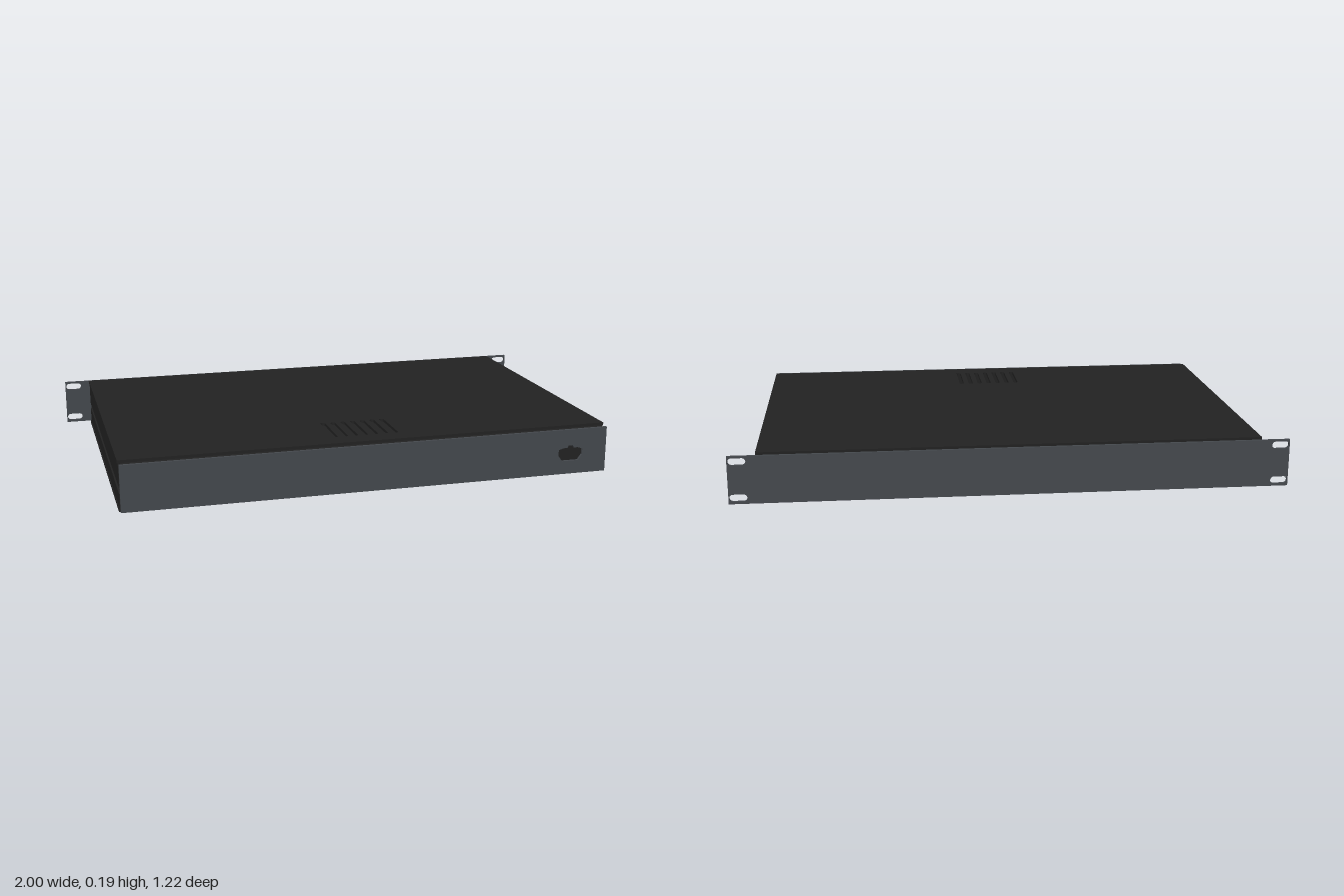
import * as THREE from 'three';

export function createModel() {
  const group = new THREE.Group();
  const black = new THREE.MeshStandardMaterial({ color: 0x222222 });
  black.name = 'black steel';
  const grey = new THREE.MeshStandardMaterial({ color: 0x45494e });
  grey.name = 'grey panel';

  const add = (name, geometry, material) => {
    const mesh = new THREE.Mesh(geometry, material);
    mesh.name = name;
    group.add(mesh);
    return mesh;
  };
  // Box given by its lower and upper corners
  const box = (name, a, b, material) => {
    const mesh = add(name, new THREE.BoxGeometry(b[0] - a[0], b[1] - a[1], b[2] - a[2]), material);
    mesh.position.set((a[0] + b[0]) / 2, (a[1] + b[1]) / 2, (a[2] + b[2]) / 2);
  };
  const rect = (x0, y0, x1, y1) => new THREE.Shape([[x0, y0], [x1, y0], [x1, y1], [x0, y1]]
    .map(p => new THREE.Vector2(...p)));
  // Slot with round ends, centred on (x, y) and lying along x or y
  const slot = (x, y, w, h) => {
    const path = new THREE.Path();
    const r = Math.min(w, h) / 2, dx = w / 2 - r, dy = h / 2 - r;
    if (w > h) {
      path.absarc(x + dx, y, r, -Math.PI / 2, Math.PI / 2);
      path.absarc(x - dx, y, r, Math.PI / 2, Math.PI * 1.5);
    } else {
      path.absarc(x, y + dy, r, 0, Math.PI);
      path.absarc(x, y - dy, r, Math.PI, Math.PI * 2);
    }
    path.closePath();
    return path;
  };
  const extrude = (shape, depth) =>
    new THREE.ExtrudeGeometry(shape, { depth, bevelEnabled: false, curveSegments: 8 });

  // Top cover with a row of vent slots near the front
  const lid = rect(-0.903, -0.575, 0.903, 0.587);
  for (let i = 0; i < 7; i++) lid.holes.push(slot((i - 3) * 0.038, -0.405, 0.017, 0.19));
  const top = add('topCover', extrude(lid, 0.01), black);
  top.rotation.x = -Math.PI / 2;
  top.position.y = 0.175;

  // Bottom tray
  box('bottomTray', [-0.903, 0, -0.587], [0.903, 0.01, 0.575], black);

  // Side walls with a long groove at mid height
  for (const s of [-1, 1]) {
    const profile = new THREE.Shape([
      [0.882, 0.01], [0.9, 0.01], [0.9, 0.065], [0.89, 0.065],
      [0.89, 0.088], [0.9, 0.088], [0.9, 0.175], [0.882, 0.175],
    ].map(([x, y]) => new THREE.Vector2(s * x, y)));
    const wall = add(s > 0 ? 'leftWall' : 'rightWall', extrude(profile, 1.162), black);
    wall.position.z = -0.587;
  }

  // End bulkheads and the flanges that join them to the shell
  for (const s of [-1, 1]) {
    const end = s > 0 ? 'front' : 'rear';
    const span = (a, b) => [Math.min(s * a, s * b), Math.max(s * a, s * b)];
    const [b0, b1] = span(0.592, 0.6);
    box(end + 'Bulkhead', [-0.897, 0.012, b0], [0.897, 0.175, b1], black);
    const [f0, f1] = span(0.572, 0.592);
    box(end + 'LowerFlange', [-0.893, 0.012, f0], [0.893, 0.065, f1], black);
    box(end + 'UpperFlange', [-0.893, 0.088, f0], [0.893, 0.174, f1], black);
  }

  // Front panel with a stepped port opening
  const front = rect(-0.9, 0.008, 0.9, 0.178);
  front.holes.push(new THREE.Path([
    [0.71, 0.08], [0.725, 0.058], [0.79, 0.058], [0.805, 0.08], [0.805, 0.102],
    [0.785, 0.108], [0.77, 0.108], [0.766, 0.117], [0.749, 0.117], [0.745, 0.108],
    [0.73, 0.108], [0.71, 0.102],
  ].map(p => new THREE.Vector2(...p))));
  add('frontPanel', extrude(front, 0.01), grey).position.z = 0.6;

  // Wide rack panel with four mounting slots
  const rack = rect(-1, 0.006, 1, 0.18);
  for (const x of [-0.966, 0.966])
    for (const y of [0.028, 0.16]) rack.holes.push(slot(x, y, 0.062, 0.026));
  add('rackPanel', extrude(rack, 0.01), grey).position.z = -0.61;

  return group;
}
